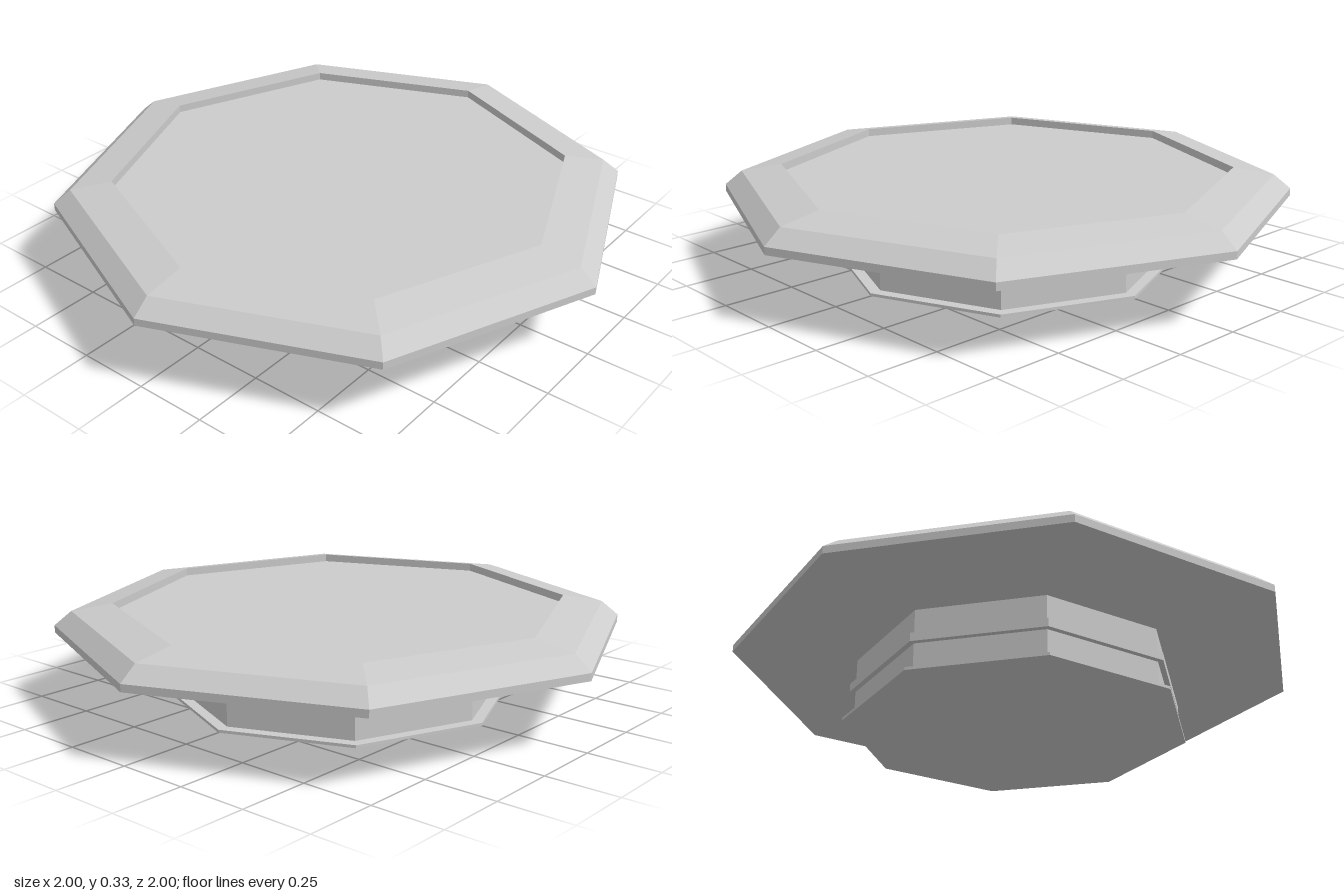
import * as THREE from 'three';

const SIDES = 8;
const material = new THREE.MeshStandardMaterial({ color: 0xcccccc, flatShading: true });

// Octagonal turned part from [radius, height] pairs, listed from bottom to top
function turned(name, profile) {
  const points = profile.map(([r, y]) => new THREE.Vector2(r, y));
  const mesh = new THREE.Mesh(new THREE.LatheGeometry(points, SIDES), material);
  mesh.name = name;
  return mesh;
}

// Plain octagonal slab between two heights
const slab = (name, r, y0, y1) => turned(name, [[0, y0], [r, y0], [r, y1], [0, y1]]);

export function createModel() {
  const model = new THREE.Group();
  model.name = 'octagonalPlatform';

  // Thin foot plate, column and the band around it
  model.add(slab('footPlate', 0.61, 0, 0.01));
  model.add(slab('column', 0.57, 0.01, 0.235));
  model.add(slab('columnBand', 0.59, 0.11, 0.14));

  // Wide top with a bevelled rim and a shallow recess
  model.add(turned('top', [
    [0, 0.232], [1, 0.232], [1, 0.258], [0.94, 0.308],
    [0.797, 0.333], [0.797, 0.305], [0, 0.305],
  ]));

  return model;
}
